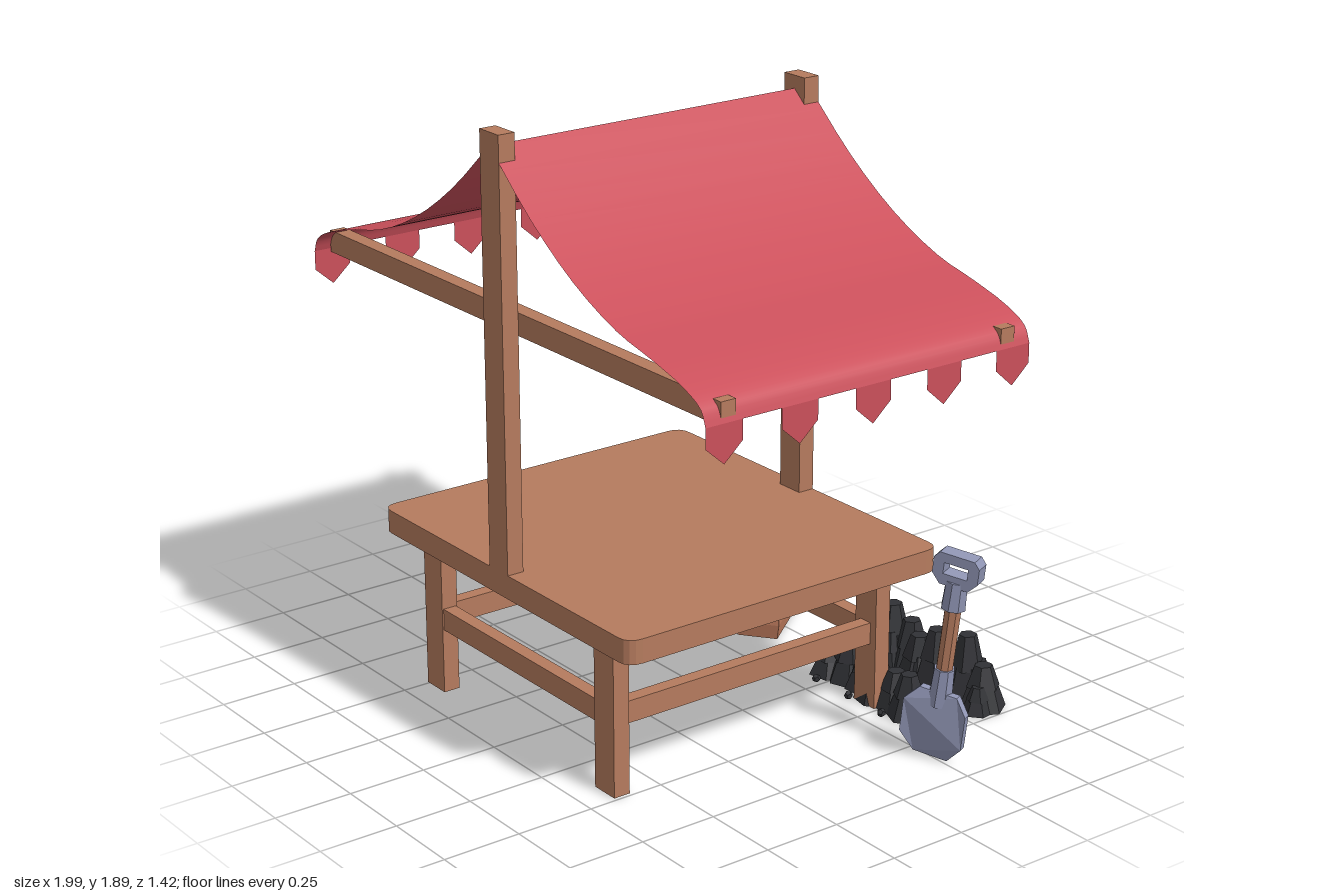
import * as THREE from 'three';

const mat = (name, color, opts = {}) => {
  const m = new THREE.MeshStandardMaterial({ color, ...opts });
  m.name = name;
  return m;
};

export function createModel() {
  const wood = mat('wood', 0xb57b5e, { flatShading: true });
  const sack = mat('sack', 0xbe7b5d, { flatShading: true, side: THREE.DoubleSide });
  const cloth = mat('red cloth', 0xcb505b, { side: THREE.DoubleSide });
  const metal = mat('metal', 0x9095b4, { flatShading: true });
  const coal = mat('coal', 0x303135, { flatShading: true });

  const model = new THREE.Group();
  model.name = 'marketStall';
  const add = (name, geo, material, parent = model) => {
    const m = new THREE.Mesh(geo, material);
    m.name = name;
    parent.add(m);
    return m;
  };
  // Box given by its minimum and maximum on each axis
  const box = (name, x0, x1, y0, y1, z0, z1) => {
    const m = add(name, new THREE.BoxGeometry(x1 - x0, y1 - y0, z1 - z0), wood);
    m.position.set((x0 + x1) / 2, (y0 + y1) / 2, (z0 + z1) / 2);
  };
  const polygon = (pts) => new THREE.Shape(pts.map(([x, y]) => new THREE.Vector2(x, y)));
  const extrude = (shape, depth) =>
    new THREE.ExtrudeGeometry(shape, { depth, bevelEnabled: false, curveSegments: 4 });

  // Table top with rounded corners
  const [tx, tz, r] = [0.645, 0.5775, 0.05];
  const top = new THREE.Shape();
  top.moveTo(-tx + r, -tz).lineTo(tx - r, -tz).quadraticCurveTo(tx, -tz, tx, -tz + r);
  top.lineTo(tx, tz - r).quadraticCurveTo(tx, tz, tx - r, tz);
  top.lineTo(-tx + r, tz).quadraticCurveTo(-tx, tz, -tx, tz - r);
  top.lineTo(-tx, -tz + r).quadraticCurveTo(-tx, -tz, -tx + r, -tz);
  const table = add('tableTop', extrude(top, 0.075).rotateX(-Math.PI / 2), wood);
  table.position.set(-0.005, 0.485, 0.1375);

  // Legs and rails
  for (const x of [-0.505, 0.395]) {
    for (const z of [-0.38, 0.605]) box('leg', x, x + 0.095, 0, 0.485, z, z + 0.055);
    box('sideRail', x + 0.025, x + 0.07, 0.21, 0.28, -0.325, 0.605);
  }
  for (const z of [-0.375, 0.61]) box('crossRail', -0.41, 0.395, 0.21, 0.28, z, z + 0.045);

  // Canopy posts and beams
  for (const z of [-0.44, 0.66]) box('post', -0.053, 0.042, 0.56, 1.89, z, z + 0.055);
  for (const z of [-0.385, 0.61]) box('beam', -0.995, 0.985, 1.29, 1.36, z, z + 0.05);

  // Sagging canopy halves with a toothed edge
  const sag = new THREE.CatmullRomCurve3([
    [0, 1.85], [0.2, 1.68], [0.4, 1.55], [0.6, 1.463], [0.76, 1.425], [0.9, 1.385], [0.975, 1.345], [0.995, 1.3],
  ].map(([x, y]) => new THREE.Vector3(x, y, 0)));
  for (const s of [-1, 1]) {
    const geo = new THREE.PlaneGeometry(1, 1.155, 21, 1).rotateX(-Math.PI / 2);
    const p = geo.attributes.position;
    for (let i = 0; i < p.count; i++) {
      const t = s > 0 ? p.getX(i) + 0.5 : 0.5 - p.getX(i);
      const c = sag.getPoint(Math.min(1, Math.max(0, t)));
      p.setXYZ(i, s * c.x - 0.005, c.y, p.getZ(i) + 0.1375);
    }
    geo.computeVertexNormals();
    add('canopyHalf', geo, cloth);
    for (let i = 0; i < 5; i++) {
      const z = 0.6525 - i * 0.2575, w = 0.0625;
      const tooth = polygon([[z - w, 1.3], [z - w, 1.24], [z, 1.185], [z + w, 1.24], [z + w, 1.3]]);
      const m = add('canopyTooth', new THREE.ShapeGeometry(tooth).rotateY(-Math.PI / 2), cloth);
      m.position.x = s * 0.995 - 0.005;
    }
  }

  // Sacks: rings of eight points with pinched ends, a narrow neck and a flared mouth
  const sackGeometry = () => {
    // height, half length, half width, pinch of the ends
    const rings = [
      [0, 0.126, 0.066, 0], [0.05, 0.134, 0.073, 0], [0.2, 0.126, 0.067, 0.008],
      [0.34, 0.112, 0.055, 0.025], [0.375, 0.105, 0.042, 0.03], [0.42, 0.12, 0.052, 0.03], [0.385, 0.095, 0.03, 0.02],
    ];
    const pos = [], idx = [], n = 8;
    for (const [y, a, b, k] of rings) {
      for (const [x, z] of [[a, b], [a - k, 0], [a, -b], [0, -b], [-a, -b], [k - a, 0], [-a, b], [0, b]]) pos.push(x, y, z);
    }
    for (let j = 0; j < rings.length - 1; j++) {
      for (let i = 0; i < n; i++) {
        const a = j * n + i, b = j * n + (i + 1) % n;
        idx.push(a, b, b + n, a, b + n, a + n);
      }
    }
    const last = (rings.length - 1) * n;
    pos.push(0, 0, 0, 0, 0.385, 0);
    const c = rings.length * n;
    for (let i = 0; i < n; i++) {
      const k = (i + 1) % n;
      idx.push(c, k, i, c + 1, last + i, last + k);
    }
    const g = new THREE.BufferGeometry();
    g.setAttribute('position', new THREE.Float32BufferAttribute(pos, 3));
    g.setIndex(idx);
    g.computeVertexNormals();
    return g;
  };
  const sackGeo = sackGeometry();
  for (const [x, z, yaw] of [[-0.725, -0.255, -0.1], [-0.712, -0.475, -1.57], [-0.475, -0.475, -1.25], [-0.225, -0.475, -0.92]]) {
    const m = add('sack', sackGeo, sack);
    m.position.set(x, 0, z);
    m.rotation.y = yaw;
  }

  // Coal heaps: jagged stepped lumps with crumbs around them
  let seed = 7;
  const rand = (a, b) => {
    seed = (seed * 16807) % 2147483647;
    return a + (b - a) * (seed / 2147483647);
  };
  const heap = new THREE.Group();
  heap.name = 'coalHeap';
  model.add(heap);
  const lump = (x, z, h, rad) => {
    const tiers = [[1, 0.62, 0, 0.55], [0.72, 0.38, 0.5, 1]];
    for (const [r0, r1, y0, y1] of tiers) {
      const m = add('coalLump', new THREE.CylinderGeometry(rad * r1, rad * r0, h * (y1 - y0), 6), coal, heap);
      m.position.set(x, h * (y0 + y1) / 2, z);
      m.rotation.y = rand(0, 3);
    }
  };
  const crumb = (x, z) => {
    const m = add('coalCrumb', new THREE.DodecahedronGeometry(0.014), coal, heap);
    m.position.set(x, 0.012, z);
    m.rotation.y = rand(0, 3);
  };
  const backHeights = [0.13, 0.21, 0.17, 0.15, 0.19, 0.16, 0.22, 0.14];
  backHeights.forEach((h, i) => {
    const x = 0.2 + i * 0.068;
    lump(x, -0.6 + rand(-0.02, 0.02), h, 0.075);
    lump(x + 0.02, -0.6 + (i % 2 ? 0.035 : -0.035), h * 0.6, 0.05);
    crumb(x, i % 2 ? -0.51 : rand(-0.7, -0.67));
  });
  [0.1, 0.14, 0.12, 0.15, 0.12, 0.14, 0.09].forEach((h, i) => {
    const x = 0.2 + i * 0.078;
    lump(x, -0.4 + rand(-0.025, 0.025), h, 0.07);
    crumb(x + 0.03, i % 2 ? -0.49 : -0.31);
  });

  // Leaning shovel
  const shovel = new THREE.Group();
  shovel.name = 'shovel';
  shovel.rotation.set(-0.03, 0.42, -0.13, 'ZYX');
  shovel.position.set(0.838, 0.01, -0.255);
  model.add(shovel);
  const outline = polygon([[-0.055, 0], [0.055, 0], [0.1, 0.06], [0.1, 0.17], [0.06, 0.215], [-0.06, 0.215], [-0.1, 0.17], [-0.1, 0.06]]);
  const blade = extrude(outline, 0.025);
  const bp = blade.attributes.position;
  for (let i = 0; i < bp.count; i++) bp.setZ(i, bp.getZ(i) - 0.0125 + 2.5 * bp.getX(i) ** 2);
  blade.computeVertexNormals();
  add('shovelBlade', blade, metal, shovel);
  const rod = (name, r0, r1, y0, y1, material) => {
    const m = add(name, new THREE.CylinderGeometry(r1, r0, y1 - y0, 8), material, shovel);
    m.position.y = (y0 + y1) / 2;
  };
  rod('shovelSocket', 0.038, 0.032, 0.17, 0.29, metal);
  rod('shovelShaft', 0.026, 0.026, 0.28, 0.51, wood);
  rod('shovelCollar', 0.038, 0.034, 0.49, 0.58, metal);
  const grip = polygon([[-0.045, 0.565], [0.045, 0.565], [0.072, 0.595], [0.072, 0.645], [0.055, 0.665], [-0.055, 0.665], [-0.072, 0.645], [-0.072, 0.595]]);
  grip.holes.push(polygon([[-0.038, 0.6], [-0.038, 0.635], [0.038, 0.635], [0.038, 0.6]]));
  add('shovelGrip', extrude(grip, 0.05), metal, shovel).position.z = -0.025;

  return model;
}
